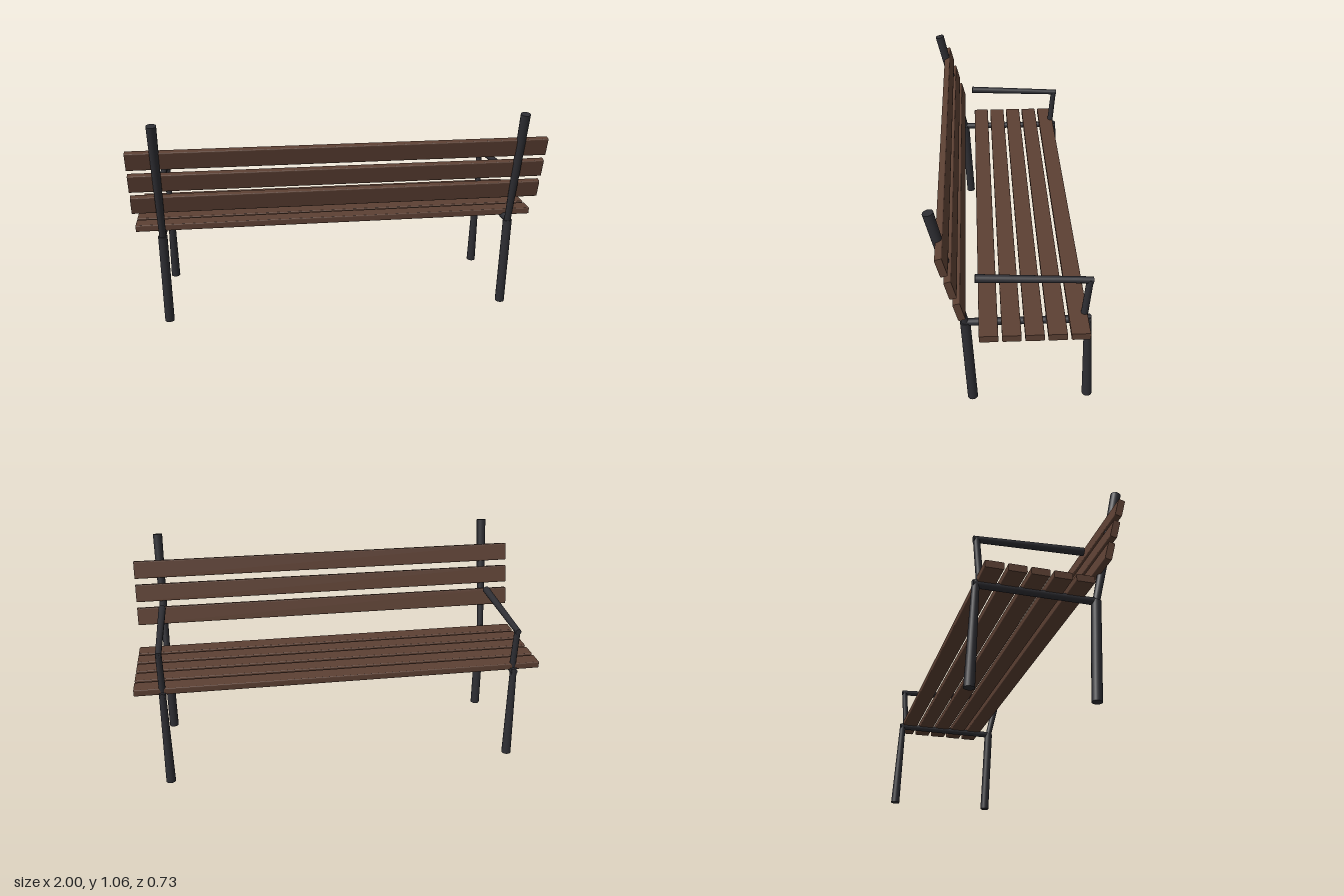
import * as THREE from 'three';

const metal = new THREE.MeshStandardMaterial({ color: 0x2e2e33 });
metal.name = 'dark metal';
const wood = new THREE.MeshStandardMaterial({ color: 0x5c4033 });
wood.name = 'brown wood';

// Round bar between two [y, z] points, with a radius at each end
function bar(name, [y0, z0], [y1, z1], r0, r1) {
  const a = new THREE.Vector3(0, y0, z0);
  const dir = new THREE.Vector3(0, y1, z1).sub(a);
  const mesh = new THREE.Mesh(new THREE.CylinderGeometry(r1, r0, dir.length(), 20), metal);
  mesh.name = name;
  mesh.position.copy(a).addScaledVector(dir, 0.5);
  mesh.quaternion.setFromUnitVectors(new THREE.Vector3(0, 1, 0), dir.normalize());
  return mesh;
}

// Board with softened long edges, running the full length along x
function slatGeometry(depth, height) {
  const w = depth / 2, h = height / 2, r = 0.006;
  const s = new THREE.Shape();
  s.moveTo(-w + r, -h);
  s.lineTo(w - r, -h);
  s.quadraticCurveTo(w, -h, w, -h + r);
  s.lineTo(w, h - r);
  s.quadraticCurveTo(w, h, w - r, h);
  s.lineTo(-w + r, h);
  s.quadraticCurveTo(-w, h, -w, h - r);
  s.lineTo(-w, -h + r);
  s.quadraticCurveTo(-w, -h, -w + r, -h);
  const g = new THREE.ExtrudeGeometry(s, { depth: 2, bevelEnabled: false, curveSegments: 3 });
  return g.translate(0, 0, -1).rotateY(Math.PI / 2);
}

export function createModel() {
  const bench = new THREE.Group();
  bench.name = 'bench';

  // Metal side frames
  for (const side of [1, -1]) {
    const frame = new THREE.Group();
    frame.name = side > 0 ? 'leftFrame' : 'rightFrame';
    frame.position.x = side * 0.867;
    frame.add(
      bar('backLeg', [0.001, 0.191], [0.472, 0.214], 0.0235, 0.0225),
      bar('frontLeg', [0.001, -0.343], [0.485, -0.321], 0.0235, 0.0165),
      bar('backPost', [0.465, 0.213], [1.057, 0.345], 0.0165, 0.0235),
      bar('seatRail', [0.47, 0.214], [0.47, -0.335], 0.017, 0.017),
      bar('armSupport', [0.475, -0.303], [0.695, -0.32], 0.016, 0.015),
      bar('armrest', [0.715, 0.167], [0.69, -0.334], 0.0185, 0.0145)
    );
    bench.add(frame);
  }

  // Seat slats
  const seatGeo = slatGeometry(0.082, 0.033);
  for (let i = 0; i < 5; i++) {
    const slat = new THREE.Mesh(seatGeo, wood);
    slat.name = 'seatSlat';
    slat.position.set(0, 0.492, 0.115 - i * 0.098);
    bench.add(slat);
  }

  // Leaning backrest slats
  const backGeo = slatGeometry(0.031, 0.09);
  for (let i = 0; i < 3; i++) {
    const slat = new THREE.Mesh(backGeo, wood);
    slat.name = 'backSlat';
    slat.position.set(0, 0.649 + i * 0.1175, 0.234 + i * 0.0315);
    slat.rotation.x = 0.25;
    bench.add(slat);
  }
  return bench;
}
